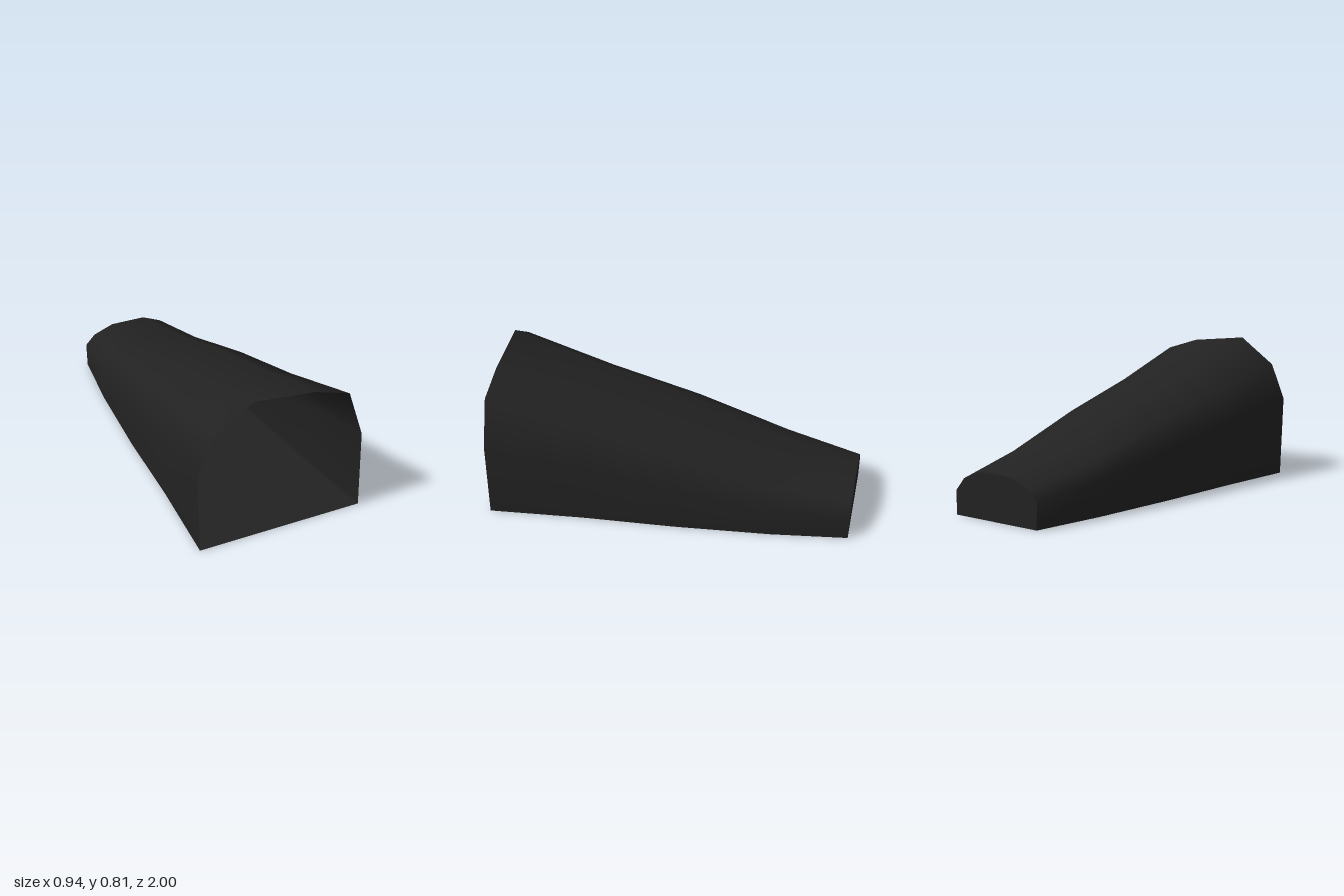
import * as THREE from 'three';

// Arch outline from floor at -x, over the top, to floor at +x
const FRONT = [[-0.46, 0], [-0.475, 0.455], [-0.39, 0.655], [-0.175, 0.805], [0.17, 0.77], [0.37, 0.71], [0.46, 0.445], [0.47, 0]];
const BACK = [[-0.285, 0], [-0.288, 0.14], [-0.23, 0.2], [-0.11, 0.246], [0.1, 0.247], [0.215, 0.2], [0.273, 0.13], [0.272, 0]];
const FRONT_SIZE = [0.47, 0.805];
const BACK_SIZE = [0.28, 0.247];

// Stations along the tunnel: z, half width, height
const STATIONS = [[1, 0.47, 0.805], [0.48, 0.422, 0.65], [-0.04, 0.39, 0.512], [-0.58, 0.34, 0.335], [-1, 0.28, 0.247]];

// Blend the front outline into the back one, then fit it to the station size
function section([z, w, h]) {
  const t = (1 - z) / 2;
  return FRONT.map((f, i) => [w, h].map((size, k) =>
    size * THREE.MathUtils.lerp(f[k] / FRONT_SIZE[k], BACK[i][k] / BACK_SIZE[k], t)).concat(z));
}

function surface(points, index) {
  const g = new THREE.BufferGeometry();
  g.setAttribute('position', new THREE.Float32BufferAttribute(points.flat(), 3));
  g.setIndex(index);
  g.computeVertexNormals();
  return g;
}

// Join rows of points with quads
function loft(rows) {
  const n = rows[0].length, index = [];
  for (let s = 0; s < rows.length - 1; s++) {
    for (let i = 0; i < n - 1; i++) {
      const a = s * n + i, b = a + 1, c = a + n, d = c + 1;
      index.push(a, b, c, b, d, c);
    }
  }
  return surface(rows.flat(), index);
}

export function createModel() {
  const group = new THREE.Group();
  group.name = 'tunnel';
  const charcoal = new THREE.MeshStandardMaterial({ color: 0x222222, side: THREE.DoubleSide });
  charcoal.name = 'charcoal';

  const add = (name, geometry) => {
    const mesh = new THREE.Mesh(geometry, charcoal);
    mesh.name = name;
    group.add(mesh);
  };

  const rows = STATIONS.map(section);

  // Smooth vaulted walls, open at the front
  add('archedShell', loft(rows));

  // Flat floor between the wall feet
  add('floor', loft(rows.map(r => [r[7], r[0]])));

  // Flat wall closing the small end
  const fan = [];
  for (let i = 1; i < 7; i++) fan.push(0, i, i + 1);
  add('endWall', surface(rows[rows.length - 1], fan));

  return group;
}
